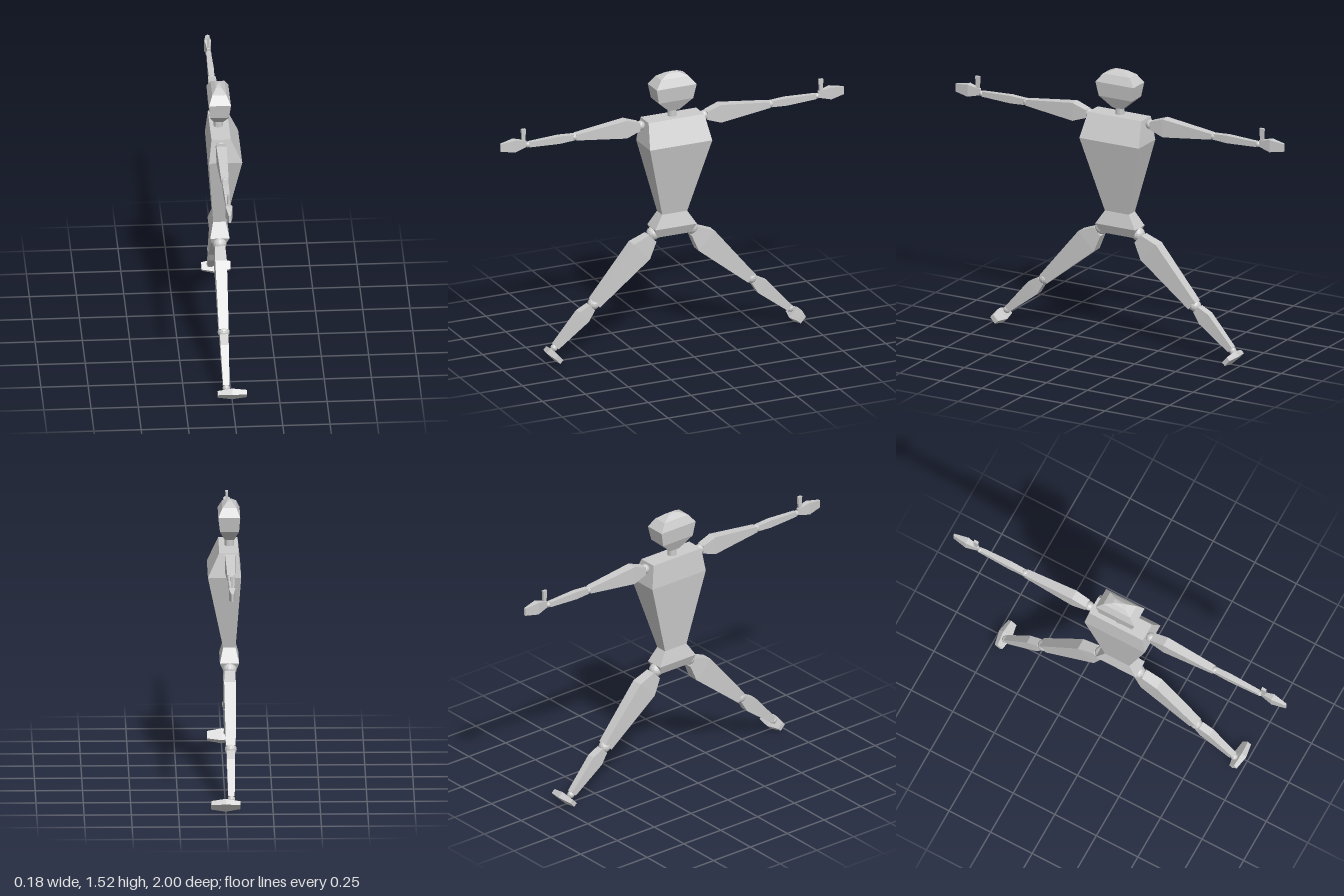
import * as THREE from 'three';

const CX = -0.03; // x of the body's centre line

// Four-sided loft along y; rings are [y, xMin, xMax, halfZ]
function loft(rings) {
  const pos = [], idx = [];
  for (const [y, x0, x1, h] of rings) pos.push(x0, y, -h, x0, y, h, x1, y, h, x1, y, -h);
  for (let r = 0; r < rings.length - 1; r++) {
    for (let i = 0; i < 4; i++) {
      const a = r * 4 + i, b = r * 4 + (i + 1) % 4;
      idx.push(a, b, b + 4, a, b + 4, a + 4);
    }
  }
  const t = (rings.length - 1) * 4;
  idx.push(0, 2, 1, 0, 3, 2, t, t + 1, t + 2, t, t + 2, t + 3);
  const g = new THREE.BufferGeometry();
  g.setAttribute('position', new THREE.Float32BufferAttribute(pos, 3));
  g.setIndex(idx);
  const flat = g.toNonIndexed();
  flat.computeVertexNormals();
  return flat;
}

// Symmetric rings: [distance, halfX, halfZ]
const symmetric = (rings) => loft(rings.map(([y, hx, hz]) => [y, -hx, hx, hz]));

export function createModel() {
  const model = new THREE.Group();
  model.name = 'mannequin';
  const grey = new THREE.MeshStandardMaterial({ color: 0xcccccc, flatShading: true });
  grey.name = 'grey';

  function add(name, geometry, parent = model) {
    const mesh = new THREE.Mesh(geometry, grey);
    mesh.name = name;
    parent.add(mesh);
    return mesh;
  }
  function ball(name, y, z, r) {
    add(name, new THREE.SphereGeometry(r, 14, 10)).position.set(CX, y, z);
  }
  // Limb segment starting at (y, z), its own y axis pointing along (dy, dz)
  function limb(name, y, z, dy, dz, rings) {
    const mesh = add(name, symmetric(rings));
    mesh.position.set(CX, y, z);
    mesh.rotation.x = Math.atan2(dz, dy);
    return mesh;
  }

  // Head, neck, torso and pelvis
  add('head', loft([
    [1.308, -0.055, -0.005, 0.03], [1.37, -0.08, 0.021, 0.1], [1.45, -0.086, 0.03, 0.116],
    [1.495, -0.067, 0.008, 0.08], [1.516, -0.045, -0.015, 0.035], [1.523, -0.031, -0.029, 0.002],
  ]));
  add('neck', new THREE.CylinderGeometry(0.025, 0.025, 0.06, 12)).position.set(CX, 1.29, 0);
  add('torso', loft([
    [0.73, -0.062, 0.004, 0.073], [1.14, -0.09, 0.086, 0.181], [1.272, -0.076, 0.026, 0.162],
  ]));
  add('pelvis', loft([
    [0.603, -0.06, 0.0, 0.1], [0.655, -0.08, 0.022, 0.121], [0.73, -0.062, 0.004, 0.073],
  ]));

  for (const [side, s] of [['front', 1], ['back', -1]]) {
    // Arm, reaching straight out along z
    const armY = 1.243;
    ball(side + 'Shoulder', armY, s * 0.185, 0.026);
    limb(side + 'UpperArm', armY, 0, 0, s,
      [[0.195, 0.024, 0.022], [0.275, 0.027, 0.05], [0.565, 0.02, 0.016]]);
    ball(side + 'Elbow', armY, s * 0.57, 0.021);
    limb(side + 'Forearm', armY, 0, 0, s,
      [[0.575, 0.015, 0.016], [0.66, 0.016, 0.021], [0.835, 0.012, 0.014]]);
    ball(side + 'Wrist', armY, s * 0.842, 0.016);
    limb(side + 'Hand', 1.25, 0, 0, s,
      [[0.85, 0.007, 0.017], [0.92, 0.018, 0.034], [1, 0.006, 0.021]]);
    limb(side + 'Thumb', 1.262, s * 0.866, 1, 0,
      [[0, 0.006, 0.009], [0.073, 0.007, 0.013]]);

    // Leg, splayed outwards
    ball(side + 'Hip', 0.62, s * 0.11, 0.037);
    limb(side + 'Thigh', 0.615, s * 0.11, -0.337, s * 0.345,
      [[0.02, 0.028, 0.03], [0.111, 0.031, 0.068], [0.478, 0.026, 0.03]]);
    ball(side + 'Knee', 0.277, s * 0.458, 0.032);
    limb(side + 'Shin', 0.277, s * 0.458, -0.225, s * 0.242,
      [[0.02, 0.022, 0.022], [0.086, 0.022, 0.041], [0.302, 0.017, 0.018]]);
    ball(side + 'Ankle', 0.065, s * 0.687, 0.02);

    // Foot, pointing forwards along +x and tilted with the shin
    const foot = add(side + 'Foot', symmetric(
      [[-0.077, 0.012, 0.02], [0, 0.018, 0.036], [0.077, 0.013, 0.022]]).rotateZ(-Math.PI / 2));
    foot.position.set(0, 0.038, s * 0.706);
    foot.rotation.x = Math.atan2(s * 0.242, -0.225);
  }
  return model;
}
